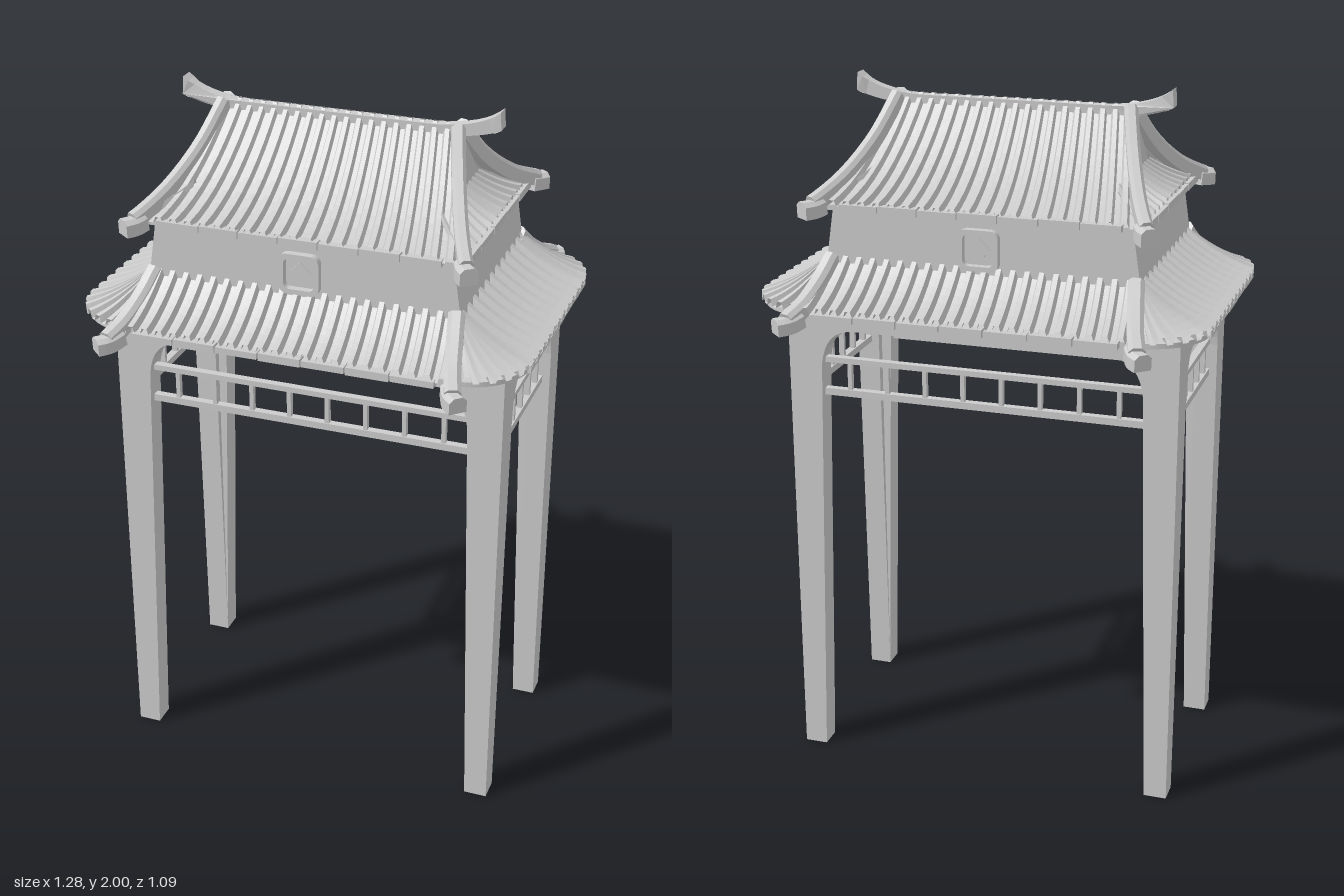
import * as THREE from 'three';

const mat = new THREE.MeshStandardMaterial({ color: 0xcccccc, flatShading: true, side: THREE.DoubleSide });
const V = (x, y, z) => new THREE.Vector3(x, y, z);
const mix = THREE.MathUtils.lerp;
const sag = (s, c = 0.65) => s * (1 + c * (1 - s)); // concave roof slope

function add(parent, name, geo, x = 0, y = 0, z = 0) {
  const m = new THREE.Mesh(geo, mat);
  m.name = name;
  m.position.set(x, y, z);
  parent.add(m);
  return m;
}
const box = (g, name, w, h, d, x, y, z) => add(g, name, new THREE.BoxGeometry(w, h, d), x, y, z);

// surface from rows of points
function loft(rows, closed = false) {
  const n = rows[0].length, pos = [], idx = [];
  rows.forEach(r => r.forEach(p => pos.push(p.x, p.y, p.z)));
  for (let i = 0; i < rows.length - 1; i++)
    for (let j = 0; j < (closed ? n : n - 1); j++) {
      const k = (j + 1) % n, a = i * n + j, b = i * n + k, c = a + n, d = b + n;
      idx.push(a, b, c, b, d, c);
    }
  if (closed) { // end caps
    const e = (rows.length - 1) * n;
    for (let j = 1; j < n - 1; j++) idx.push(0, j + 1, j, e, e + j, e + j + 1);
  }
  const g = new THREE.BufferGeometry();
  g.setAttribute('position', new THREE.Float32BufferAttribute(pos, 3));
  g.setIndex(idx);
  const flat = g.toNonIndexed();
  flat.computeVertexNormals();
  return flat;
}

// corrugated tile slope; path(u) gives [top point, eave point]
function tiles(path, count, h, c) {
  const cols = [];
  for (let i = 0; i < count; i++)
    [[0, 0], [0.35, 0], [0.5, h], [0.85, h]].forEach(([f, y]) => cols.push([(i + f) / count, y]));
  cols.push([1, 0]);
  return loft(cols.map(([u, lift]) => {
    const [a, b] = path(u), row = [];
    for (let j = 0; j <= 8; j++) {
      const s = j / 8;
      row.push(V(mix(a.x, b.x, s), mix(a.y, b.y, sag(s, c)) + lift, mix(a.z, b.z, s)));
    }
    return row;
  }));
}

// rectangular bar swept along a curve, kept upright
function sweep(points, w, h) {
  const curve = new THREE.CatmullRomCurve3(points), rows = [];
  for (let i = 0; i <= 14; i++) {
    const p = curve.getPoint(i / 14), t = curve.getTangent(i / 14);
    const side = V(t.z, 0, -t.x).normalize(), up = V(0, 1, 0).addScaledVector(t, -t.y).normalize();
    rows.push([[-1, -1], [1, -1], [1, 0.5], [0.5, 1], [-0.5, 1], [-1, 0.5]].map(([a, b]) =>
      p.clone().addScaledVector(side, a * w / 2).addScaledVector(up, b * h / 2)));
  }
  return loft(rows, true);
}

// two tapered posts joined by a beam with rounded corners
function portal(half, foot, top, bend, depth) {
  const s = new THREE.Shape(), i = half - top;
  s.moveTo(-half, 0); s.lineTo(-half + foot, 0); s.lineTo(-i, 1.22);
  s.quadraticCurveTo(-i + 0.01, 1.328, -i + bend, 1.328);
  s.lineTo(i - bend, 1.328);
  s.quadraticCurveTo(i - 0.01, 1.328, i, 1.22);
  s.lineTo(half - foot, 0); s.lineTo(half, 0); s.lineTo(half, 1.405); s.lineTo(-half, 1.405);
  return new THREE.ExtrudeGeometry(s, { depth, bevelEnabled: false, curveSegments: 8 }).translate(0, 0, -depth / 2);
}

function roundRect(w, h, r, Type = THREE.Shape) {
  const s = new Type();
  s.moveTo(w, h - r); s.absarc(w - r, h - r, r, 0, Math.PI / 2);
  s.absarc(-w + r, h - r, r, Math.PI / 2, Math.PI);
  s.absarc(-w + r, -h + r, r, Math.PI, Math.PI * 1.5);
  s.absarc(w - r, -h + r, r, Math.PI * 1.5, Math.PI * 2);
  s.closePath();
  return s;
}

// lattice rail running along x
function railing(length, posts, gap) {
  const g = new THREE.Group();
  g.name = 'railing';
  box(g, 'topRail', length, 0.016, 0.022, 0, 1.232, 0);
  box(g, 'bottomRail', length, 0.02, 0.022, 0, 1.136, 0);
  for (let i = 0; i < posts; i++) box(g, 'railPost', 0.012, 0.09, 0.016, (i - (posts - 1) / 2) * gap, 1.185, 0);
  return g;
}

export function createModel() {
  const root = new THREE.Group();
  root.name = 'gatePavilion';

  // posts, arched beams and railings
  const base = new THREE.Group();
  base.name = 'postFrame';
  base.position.set(0.0075, 0, 0.004);
  root.add(base);
  for (const s of [1, -1]) {
    add(base, 'longFrame', portal(0.5625, 0.066, 0.098, 0.1, 0.066), 0, 0, s * 0.271);
    add(base, 'shortFrame', portal(0.304, 0.066, 0.094, 0.08, 0.066), s * 0.5295, 0, 0).rotation.y = Math.PI / 2;
    const long = railing(0.94, 8, 0.112), short = railing(0.43, 5, 0.082);
    long.position.z = s * 0.271;
    short.position.x = s * 0.5295;
    short.rotation.y = Math.PI / 2;
    base.add(long, short);
  }
  box(root, 'ceiling', 1.1, 0.02, 0.58, 0.0075, 1.397, 0);

  // lower roof
  const plate = new THREE.ExtrudeGeometry(roundRect(0.63, 0.44, 0.17), { depth: 0.014, bevelEnabled: false, curveSegments: 10 });
  add(root, 'lowerEavePlate', plate.rotateX(-Math.PI / 2), 0, 1.407, 0);
  const fan = 0.26;
  const sidePath = u => {
    const end = u < 0.5 ? 1 : -1, v = Math.min(u, 1 - u);
    const a = Math.min(v / fan, 1) * Math.PI / 2;
    const z = v < fan ? 0.28 : mix(0.28, 0, (v - fan) / (0.5 - fan));
    const k = v < fan ? Math.cos(a) : 0;
    return [V(0.435, 1.53, end * (z + 0.025 * k)), V(0.475 + 0.163 * Math.sin(a), 1.42, end * (z + 0.165 * k))];
  };
  // upper roof, wall and ornaments mirrored on both axes
  for (const s of [1, -1]) {
    const lowerFront = u => [V(mix(-0.44, 0.44, u), 1.535, s * 0.295), V(mix(-0.46, 0.46, u), 1.42, s * 0.465)];
    add(root, 'lowerLongTiles', tiles(lowerFront, 22, 0.02, 0.5));
    const side = add(root, 'lowerSideTiles', tiles(sidePath, 22, 0.02, 0.5));
    side.scale.x = s;
    const upperFront = u => [V(mix(-0.35, 0.35, u), 1.935, s * 0.005), V(mix(-0.43, 0.43, u), 1.69, s * 0.325)];
    add(root, 'upperLongTiles', tiles(upperFront, 20, 0.016));
    const skirt = u => [V(s * 0.35, 1.755, mix(-0.2, 0.2, u)), V(s * 0.45, 1.692, mix(-0.32, 0.32, u))];
    add(root, 'upperSideTiles', tiles(skirt, 13, 0.018, 0.4));

    // eave edging in short lengths
    for (let i = -3; i <= 3; i++) {
      box(root, 'lowerEaveEdge', 0.118, i % 2 ? 0.018 : 0.022, 0.03, i * 0.122, 1.416, s * 0.458);
      box(root, 'upperEaveEdge', 0.11, i % 2 ? 0.018 : 0.022, 0.026, i * 0.113, 1.688, s * 0.317);
    }
    for (let i = -2; i <= 2; i++) {
      box(root, 'lowerSideEdge', 0.028, i % 2 ? 0.018 : 0.022, 0.118, s * 0.622, 1.418, i * 0.122);
      box(root, 'upperSideEdge', 0.025, i % 2 ? 0.018 : 0.022, 0.122, s * 0.447, 1.688, i * 0.126);
    }

    // hip ridges with upright ends
    for (const t of [1, -1]) {
      const path = pts => pts.map(([x, y, z]) => V(s * x, y, t * z));
      add(root, 'upperHipRidge', sweep(path([[0.335, 1.94, 0.01], [0.37, 1.835, 0.11], [0.415, 1.75, 0.23], [0.455, 1.705, 0.325], [0.465, 1.697, 0.345]]), 0.038, 0.045));
      add(root, 'upperRidgeEnd', sweep(path([[0.45, 1.69, 0.32], [0.463, 1.685, 0.35], [0.482, 1.684, 0.375]]), 0.05, 0.046));
      add(root, 'lowerHipRidge', sweep(path([[0.43, 1.54, 0.295], [0.445, 1.485, 0.36], [0.465, 1.435, 0.44], [0.485, 1.41, 0.5]]), 0.045, 0.045));
      add(root, 'lowerRidgeEnd', sweep(path([[0.465, 1.408, 0.46], [0.483, 1.4, 0.5], [0.507, 1.398, 0.525]]), 0.05, 0.044));
    }

    // wall medallion
    const ring = roundRect(0.057, 0.057, 0.024);
    ring.holes.push(roundRect(0.043, 0.043, 0.016, THREE.Path));
    const medal = new THREE.Group();
    medal.name = 'medallion';
    medal.position.set(0, 1.597, s * 0.3);
    if (s < 0) medal.rotation.y = Math.PI;
    add(medal, 'medallionRing', new THREE.ExtrudeGeometry(ring, { depth: 0.024, bevelEnabled: false, curveSegments: 4 }));
    box(medal, 'medallionDiamond', 0.045, 0.045, 0.02, 0, 0, 0.003).rotation.z = Math.PI / 4;
    root.add(medal);
  }

  // wall narrowing upward along its length
  const wall = new THREE.BoxGeometry(0.84, 0.28, 0.606), p = wall.attributes.position;
  for (let i = 0; i < p.count; i++) if (p.getY(i) < 0) p.setX(i, p.getX(i) * 1.1);
  add(root, 'upperWall', wall, 0, 1.545, 0);
  box(root, 'upperEavePlate', 0.87, 0.014, 0.62, 0, 1.682, 0);

  // gable body under the upper tiles
  const gable = new THREE.Shape();
  gable.moveTo(-0.31, 1.68);
  for (let i = -10; i <= 10; i++) gable.lineTo(i * 0.031, 1.93 - 0.245 * sag(Math.abs(i) / 10));
  gable.lineTo(0.31, 1.68);
  const body = new THREE.ExtrudeGeometry(gable, { depth: 0.7, bevelEnabled: false }).translate(0, 0, -0.35);
  add(root, 'gableBody', body.rotateY(Math.PI / 2));

  // main ridge with upturned ends
  const r = new THREE.Shape();
  r.moveTo(-0.34, 1.922); r.lineTo(0.34, 1.922);
  r.quadraticCurveTo(0.4, 1.928, 0.44, 1.943); r.lineTo(0.455, 1.95); r.lineTo(0.452, 2);
  r.quadraticCurveTo(0.4, 1.952, 0.27, 1.946); r.lineTo(-0.27, 1.946);
  r.quadraticCurveTo(-0.4, 1.952, -0.452, 2); r.lineTo(-0.455, 1.95); r.lineTo(-0.44, 1.943);
  r.quadraticCurveTo(-0.4, 1.928, -0.34, 1.922);
  const ridge = new THREE.ExtrudeGeometry(r, { depth: 0.032, bevelEnabled: false, curveSegments: 8 }).translate(0, 0, -0.016);
  const q = ridge.attributes.position;
  for (let i = 0; i < q.count; i++) if (Math.abs(q.getX(i)) > 0.43) q.setZ(i, q.getZ(i) * 1.35);
  ridge.computeVertexNormals();
  add(root, 'mainRidge', ridge);
  return root;
}
